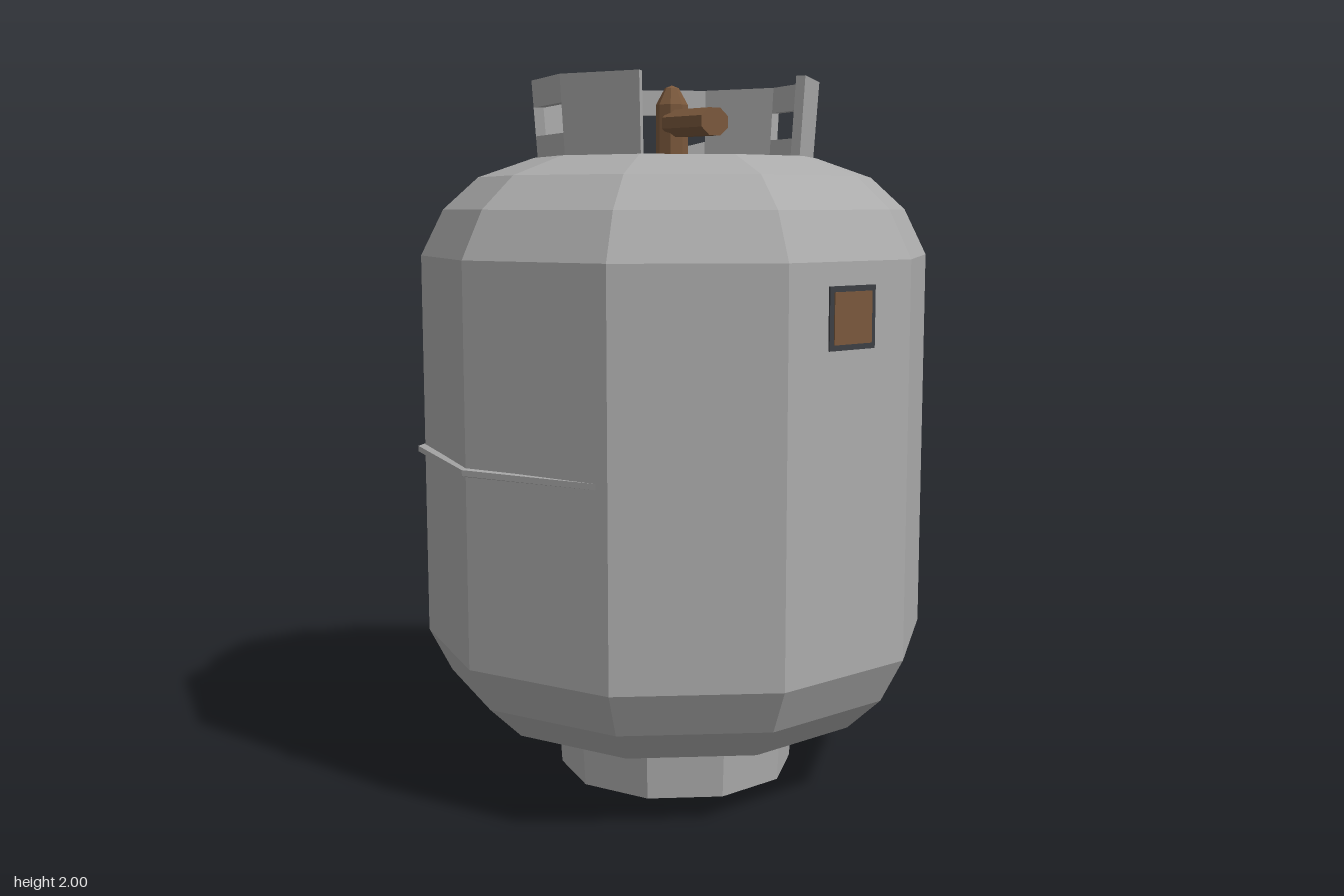
import * as THREE from 'three';

const grey = new THREE.MeshStandardMaterial({ name: 'grey steel', color: 0xababab, flatShading: true });
const brown = new THREE.MeshStandardMaterial({ name: 'brown brass', color: 0x7a583c, flatShading: true });
const dark = new THREE.MeshStandardMaterial({ name: 'dark frame', color: 0x3c3f44, flatShading: true });

const SIDES = 10;
const STEP = (Math.PI * 2) / SIDES;

function addMesh(parent, name, geometry, material) {
  const flat = geometry.index ? geometry.toNonIndexed() : geometry;
  flat.computeVertexNormals();
  const mesh = new THREE.Mesh(flat, material);
  mesh.name = name;
  parent.add(mesh);
  return mesh;
}

// Ten-sided turned shape with a corner on the x axis
function turned(profile, sides = SIDES) {
  const points = profile.map(([r, y]) => new THREE.Vector2(r, y));
  return new THREE.LatheGeometry(points, sides, Math.PI / 2);
}

// Box bent onto one side of the decagon, from corner k to corner k + 1.
// rule(end, top, outer) returns [radius, y]
function sidePanel(k, rule) {
  const geometry = new THREE.BoxGeometry(1, 1, 1);
  const p = geometry.attributes.position;
  for (let i = 0; i < p.count; i++) {
    const end = p.getX(i) > 0 ? 0 : 1;
    const [r, y] = rule(end, p.getY(i) > 0, p.getZ(i) > 0);
    const angle = (k + end) * STEP;
    p.setXYZ(i, r * Math.cos(angle), y, r * Math.sin(angle));
  }
  return geometry;
}

export function createModel() {
  const model = new THREE.Group();
  model.name = 'gasCylinder';
  const tank = new THREE.Group();
  tank.name = 'tank';
  tank.position.z = 0.01;
  model.add(tank);

  // Body and foot
  addMesh(tank, 'body', turned([
    [0, 0.14], [0.35, 0.14], [0.565, 0.195], [0.665, 0.29], [0.73, 0.415],
    [0.73, 1.51], [0.665, 1.64], [0.565, 1.73], [0.405, 1.785], [0, 1.785],
  ]), grey);
  addMesh(tank, 'footRing', turned([[0, 0], [0.343, 0], [0.352, 0.145]]), grey);

  // Weld seam round the back, fading into the body at both ends
  const seam = new THREE.Group();
  seam.name = 'weldSeam';
  tank.add(seam);
  const seamRadius = (k) => (k === 1 || k === -6 ? 0.729 : k === 0 || k === -5 ? 0.742 : 0.75);
  for (let k = -6; k <= 0; k++) {
    addMesh(seam, 'seamSegment', sidePanel(k, (end, top, outer) => [
      outer ? seamRadius(k + end) : 0.71,
      0.953 + (top ? 1 : -1) * (outer ? 0.008 : 0.018),
    ]), grey);
  }

  // Handle collar, open at the front: solid panels and windowed panels
  const collar = new THREE.Group();
  collar.name = 'collar';
  tank.add(collar);
  const BASE = 1.78, TOP = 2;
  function collarPanel(k, low, high) {
    addMesh(collar, 'collarPanel', sidePanel(k, (end, top, outer) => {
      const y = top ? high[end] : low[end];
      return [0.395 + (y - BASE) * 0.07 - (outer ? 0 : 0.028), y];
    }), grey);
  }
  for (const k of [1, 4, 6, 9]) collarPanel(k, [BASE, BASE], [TOP, TOP]);
  // Sill heights at the two corners of each window
  const windows = [[0, 1.845, 1.845], [5, 1.845, 1.845], [7, 1.81, 1.79], [8, 1.79, 1.845]];
  for (const [k, s0, s1] of windows) {
    collarPanel(k, [BASE, BASE], [s0, s1]);
    collarPanel(k, [1.925, 1.925], [TOP, TOP]);
  }

  // Valve: pointed stem and forward outlet
  const valve = new THREE.Group();
  valve.name = 'valve';
  model.add(valve);
  const stem = addMesh(valve, 'valveStem', turned([
    [0.046, 1.78], [0.046, 1.935], [0.02, 1.982], [0, 1.99],
  ], 8), brown);
  stem.position.z = -0.01;
  const outletShape = new THREE.CylinderGeometry(0.05, 0.05, 0.17, 8);
  outletShape.rotateY(Math.PI / 8);
  outletShape.rotateX(Math.PI / 2);
  outletShape.scale(1.06, 0.82, 1);
  addMesh(valve, 'valveOutlet', outletShape, brown).position.set(0, 1.882, 0.09);

  // Front label plate with its frame
  addMesh(model, 'labelFrame', new THREE.BoxGeometry(0.168, 0.165, 0.008), dark)
    .position.set(0, 1.366, 0.705);
  addMesh(model, 'labelPlate', new THREE.BoxGeometry(0.138, 0.135, 0.008), brown)
    .position.set(0, 1.366, 0.708);

  return model;
}
